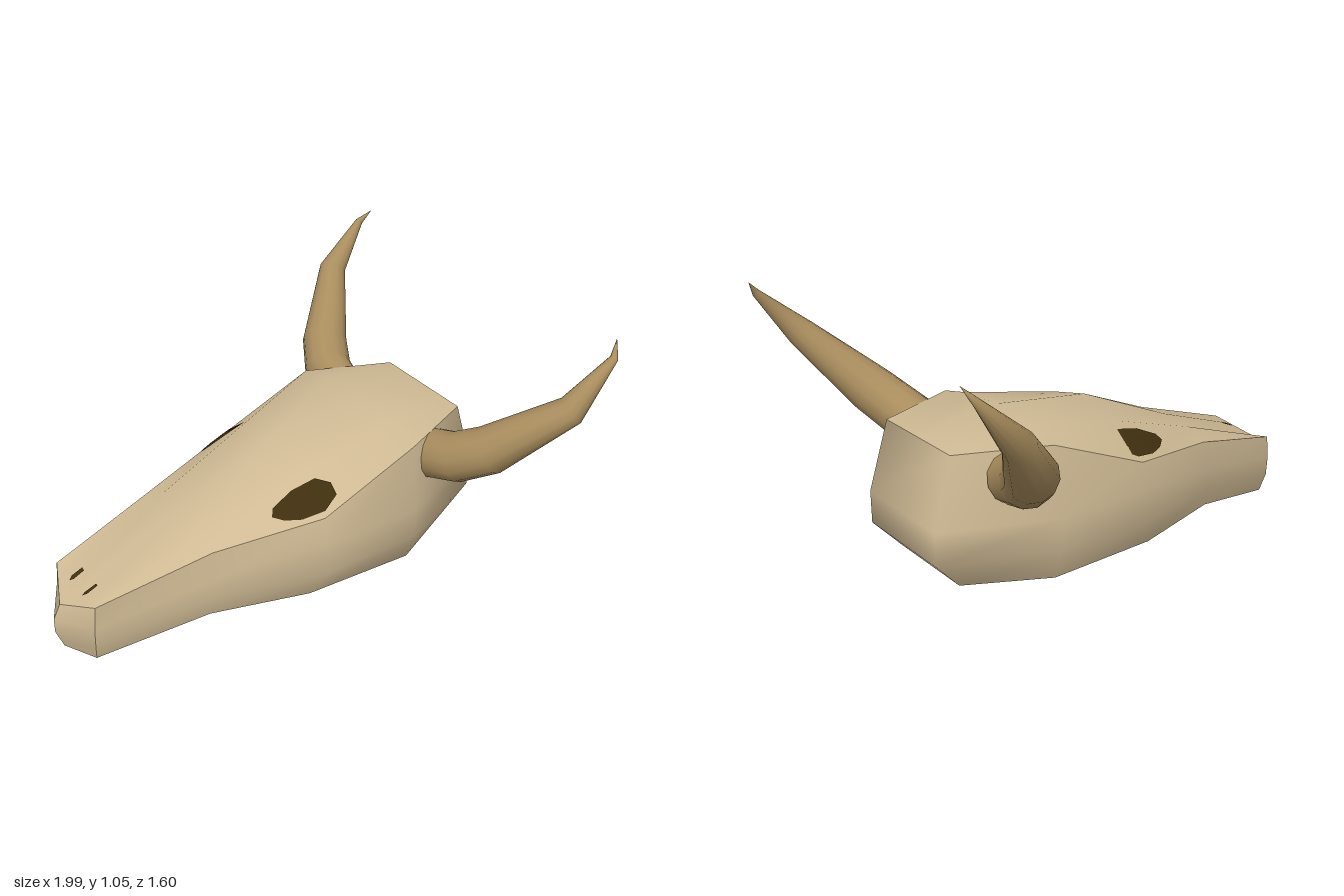
import * as THREE from 'three';
import { mergeVertices, toCreasedNormals } from 'three/addons/utils/BufferGeometryUtils.js';

const bone = new THREE.MeshStandardMaterial({ color: 0xcfba94 });
bone.name = 'bone';
const horn = new THREE.MeshStandardMaterial({ color: 0xa98d5e });
horn.name = 'horn';
const socket = new THREE.MeshStandardMaterial({ color: 0x3f2f0f });
socket.name = 'socket';

// Surface through columns of [x, y, z] points; smooth, or creased beyond an angle
function sheet(columns, crease) {
  const rows = columns[0].length;
  const index = [];
  for (let i = 0; i < columns.length - 1; i++) {
    for (let j = 0; j < rows - 1; j++) {
      const a = i * rows + j, b = a + rows;
      index.push(a, b, b + 1, a, b + 1, a + 1);
    }
  }
  let geo = new THREE.BufferGeometry();
  geo.setAttribute('position', new THREE.Float32BufferAttribute(columns.flat(2), 3));
  geo.setIndex(index);
  geo = mergeVertices(geo);
  if (crease) return toCreasedNormals(geo, crease);
  geo.computeVertexNormals();
  return geo;
}

const flip = ([x, y, z]) => [x, y, -z];

function add(parent, name, geo, mat) {
  const mesh = new THREE.Mesh(geo, mat);
  mesh.name = name;
  parent.add(mesh);
  return mesh;
}

// Left half of the skull wall, snout to back: bottom edge, two cheek points, brow ridge
const wall = [
  [[-0.9, 0, 0.13], [-0.91, 0.08, 0.155], [-0.91, 0.16, 0.16], [-0.9, 0.26, 0.16]],
  [[-0.47, 0.09, 0.24], [-0.46, 0.17, 0.26], [-0.45, 0.26, 0.26], [-0.45, 0.37, 0.24]],
  [[-0.08, 0.08, 0.34], [-0.03, 0.2, 0.4], [-0.03, 0.33, 0.39], [-0.03, 0.43, 0.36]],
  [[0.38, 0.08, 0.36], [0.38, 0.2, 0.4], [0.38, 0.33, 0.4], [0.38, 0.6, 0.36]],
  [[0.69, 0.08, 0.2], [0.8, 0.2, 0.23], [0.8, 0.33, 0.23], [0.72, 0.6, 0.22]],
];
const noseLine = [[-0.97, 0, 0], [-1, 0.08, 0], [-1, 0.14, 0], [-0.97, 0.2, 0]];

// Upper face: ridge, shoulder and centre points at each station
const shoulders = [[-0.928, 0.236, 0.096], [-0.45, 0.407, 0.145], [-0.03, 0.55, 0.21],
  [0.38, 0.635, 0.21], [0.72, 0.6, 0.13]];
const centres = [[-0.97, 0.2, 0], [-0.45, 0.42, 0], [-0.03, 0.6, 0], [0.38, 0.65, 0], [0.72, 0.6, 0]];

// Thin dark patch laid on the upper face inside an x, z outline
function patch(face, outline) {
  const ray = new THREE.Raycaster();
  const cx = outline.reduce((s, p) => s + p[0], 0) / outline.length;
  const cz = outline.reduce((s, p) => s + p[1], 0) / outline.length;
  const down = new THREE.Vector3(0, -1, 0);
  const columns = [...outline, outline[0]].map(([x, z]) => [0, 0.25, 0.5, 0.75, 1].map((f) => {
    const px = cx + (x - cx) * f, pz = cz + (z - cz) * f;
    ray.set(new THREE.Vector3(px, 2, pz), down);
    const hit = ray.intersectObject(face)[0];
    return [px, (hit ? hit.point.y : 0.42) + 0.007, pz];
  }));
  return sheet(columns);
}

// Curved horn: rings of [x, y, z, radius] swept in one leaning plane
function hornGeometry() {
  const path = [[0.52, 0.5, 0.31, 0], [0.52, 0.5, 0.31, 0.1], [0.545, 0.535, 0.43, 0.1],
    [0.605, 0.605, 0.54, 0.096], [0.79, 0.82, 0.745, 0.058], [0.95, 1.0, 0.77, 0.016],
    [0.99, 1.055, 0.735, 0]];
  const points = path.map((p) => new THREE.Vector3(p[0], p[1], p[2]));
  const normal = new THREE.Vector3(1.2, -1, 0).normalize();
  const rings = path.map((p, i) => {
    const back = points[Math.max(i - 1, 0)], next = points[Math.min(i + 1, points.length - 1)];
    const t = next.clone().sub(back);
    if (t.length() < 1e-6) t.set(0, 0, 1);
    const b = t.normalize().cross(normal).normalize();
    return Array.from({ length: 13 }, (_, k) => {
      const a = ((k % 12) / 12) * Math.PI * 2;
      return points[i].clone().addScaledVector(normal, Math.cos(a) * p[3])
        .addScaledVector(b, Math.sin(a) * p[3]).toArray();
    });
  });
  const columns = rings[0].map((_, k) => rings.map((r) => r[k]));
  return sheet(columns, 0.9);
}

export function createModel() {
  const model = new THREE.Group();
  model.name = 'hornedSkull';

  // Skull shell
  const skull = new THREE.Group();
  skull.name = 'skull';
  model.add(skull);
  const mirrored = wall.map((c) => c.map(flip));
  add(skull, 'cheeksAndBack', sheet([...wall, ...[...mirrored].reverse()]), bone);
  add(skull, 'snoutTip', sheet([mirrored[0], noseLine, wall[0]], 0.6), bone);
  const under = wall.map((c) => [flip(c[0]), c[0]]);
  add(skull, 'underside', sheet([[noseLine[0], noseLine[0]], ...under], 0.5), bone);
  const face = add(skull, 'upperFace', sheet(wall.map((c, i) =>
    [c[3], shoulders[i], centres[i], flip(shoulders[i]), flip(c[3])])), bone);

  // Eye sockets, nostrils and horns, mirrored across z
  const eyeOutline = [[-0.205, 0.265], [-0.17, 0.295], [-0.11, 0.325], [-0.02, 0.345], [0.05, 0.32],
    [0.05, 0.28], [0, 0.245], [-0.1, 0.235], [-0.19, 0.245]];
  const nostrilOutline = [[-0.9, 0.053], [-0.885, 0.064], [-0.84, 0.064], [-0.84, 0.048], [-0.885, 0.046]];
  const parts = [
    ['EyeSocket', patch(face, eyeOutline), socket],
    ['Nostril', patch(face, nostrilOutline), socket],
    ['Horn', hornGeometry(), horn],
  ];
  // Outlines run towards +x then back, so patches face upward
  for (const [name, geo, mat] of parts) {
    if (mat === socket && geo.attributes.normal.getY(1) < 0) {
      geo.setIndex([...geo.index.array].reverse());
      geo.computeVertexNormals();
    }
    add(model, 'left' + name, geo, mat);
    add(model, 'right' + name, geo, mat).scale.z = -1;
  }
  return model;
}
